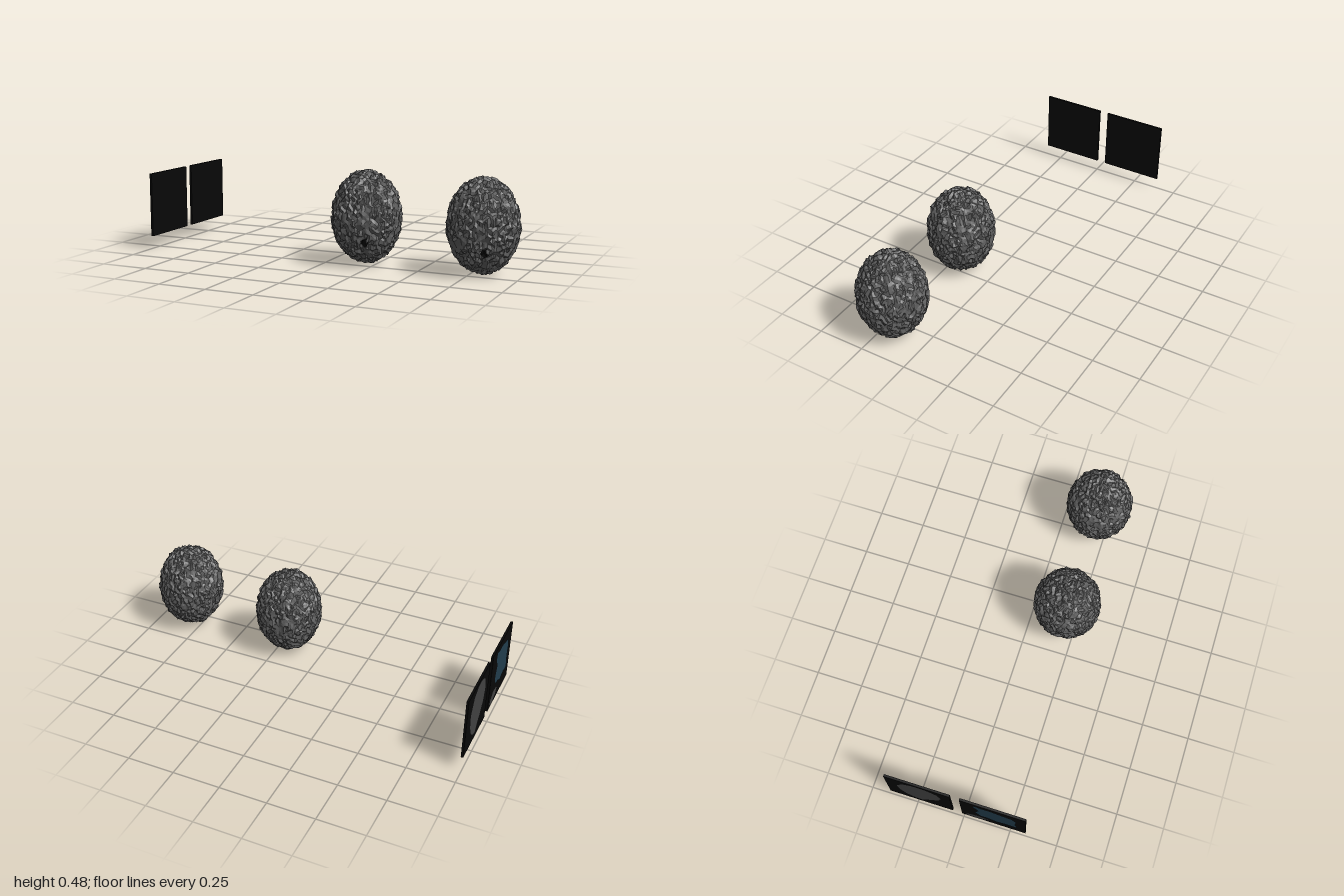
import * as THREE from 'three';
import { mergeVertices } from 'three/addons/utils/BufferGeometryUtils.js';

const stone = new THREE.MeshStandardMaterial({ color: 0x616161, flatShading: true });
stone.name = 'stone grey';
const black = new THREE.MeshStandardMaterial({ color: 0x080808 });
black.name = 'black';
const smoke = new THREE.MeshStandardMaterial({ color: 0x424242 });
smoke.name = 'smoke grey';
const blue = new THREE.MeshStandardMaterial({ color: 0x223d4c });
blue.name = 'slate blue';

// Small seeded generator
function seeded(seed) {
  let s = seed;
  return () => {
    s = (s * 1664525 + 1013904223) % 4294967296;
    return s / 4294967296;
  };
}

// Craggy egg: an icosphere with every corner knocked about, plus a dark pit
function craggyEgg(seed) {
  const base = new THREE.IcosahedronGeometry(1, 15);
  base.deleteAttribute('normal');
  base.deleteAttribute('uv');
  const welded = mergeVertices(base, 1e-4);
  const pos = welded.attributes.position;
  const rand = seeded(seed);
  const v = new THREE.Vector3();
  for (let i = 0; i < pos.count; i++) {
    v.fromBufferAttribute(pos, i);
    const lumps = 0.012 * Math.sin(v.x * 13 + 2 * Math.sin(v.y * 9)) * Math.cos(v.z * 12 + v.y * 7);
    const r = 0.985 + lumps + (rand() - 0.5) * 0.085;
    const slide = () => (rand() - 0.5) * 0.035;
    pos.setXYZ(i,
      (v.x * r + slide()) * 0.177,
      (v.y * r + slide()) * 0.234,
      (v.z * r + slide()) * 0.177);
  }
  const geo = welded.toNonIndexed();
  geo.computeVertexNormals();

  // faces near the pit go in the black group
  const p = geo.attributes.position;
  const pit = new THREE.Vector3(0.052, -0.108, 0.146);
  const faces = geo.attributes.position.count / 3;
  for (let f = 0, start = 0, last = -1; f <= faces; f++) {
    let kind = -1;
    if (f < faces) {
      v.set(0, 0, 0);
      for (let k = 0; k < 3; k++) v.add(new THREE.Vector3().fromBufferAttribute(p, f * 3 + k));
      kind = v.divideScalar(3).distanceTo(pit) < 0.019 ? 1 : 0;
    }
    if (kind !== last) {
      if (last >= 0) geo.addGroup(start * 3, (f - start) * 3, last);
      start = f;
      last = kind;
    }
  }
  return new THREE.Mesh(geo, [stone, black]);
}

// Painted patch on the -x face; points are (across, down) fractions of a panel
const SIZE = 0.338, TOP = 0.409;
function patch(name, points, zStart, material) {
  const pts = points.map(([u, d]) => new THREE.Vector2(zStart + u * SIZE, TOP - d * SIZE));
  const mesh = new THREE.Mesh(new THREE.ShapeGeometry(new THREE.Shape(pts)), material);
  mesh.name = name;
  mesh.rotation.y = -Math.PI / 2;
  mesh.position.x = -1;
  return mesh;
}

export function createModel() {
  const model = new THREE.Group();

  // Two eggs side by side
  [['innerEgg', 0.2, 11], ['outerEgg', 0.81, 29]].forEach(([name, x, seed]) => {
    const egg = craggyEgg(seed);
    egg.name = name;
    egg.position.set(x, 0.243, 0.187);
    model.add(egg);
  });

  // Two thin square panels
  [['backPanel', -0.394], ['frontPanel', -0.006]].forEach(([name, z]) => {
    const panel = new THREE.Mesh(new THREE.BoxGeometry(0.012, SIZE, SIZE), black);
    panel.name = name;
    panel.position.set(-0.992, TOP - SIZE / 2, z + SIZE / 2);
    model.add(panel);
  });

  // Painted patches on the outer faces
  model.add(patch('largeGreyPatch', [
    [0.43, 0.03], [0.55, 0.02], [0.68, 0.05], [0.81, 0.15], [0.86, 0.33], [0.81, 0.53],
    [0.70, 0.69], [0.59, 0.80], [0.52, 0.91], [0.40, 0.89], [0.28, 0.79], [0.19, 0.60],
    [0.16, 0.36], [0.27, 0.13],
  ], -0.394, smoke));
  model.add(patch('bluePatch', [
    [0.22, 0.06], [0.33, 0.10], [0.47, 0.09], [0.60, 0.13], [0.80, 0.18], [0.86, 0.31],
    [0.84, 0.52], [0.88, 0.75], [0.72, 0.73], [0.55, 0.77], [0.42, 0.70], [0.30, 0.70],
    [0.22, 0.53], [0.28, 0.34], [0.20, 0.17],
  ], -0.006, blue));
  model.add(patch('smallGreyPatch', [
    [0.08, 0.84], [0.20, 0.76], [0.34, 0.77], [0.45, 0.82], [0.37, 0.93], [0.20, 0.98],
    [0.06, 0.96],
  ], -0.006, smoke));

  return model;
}
